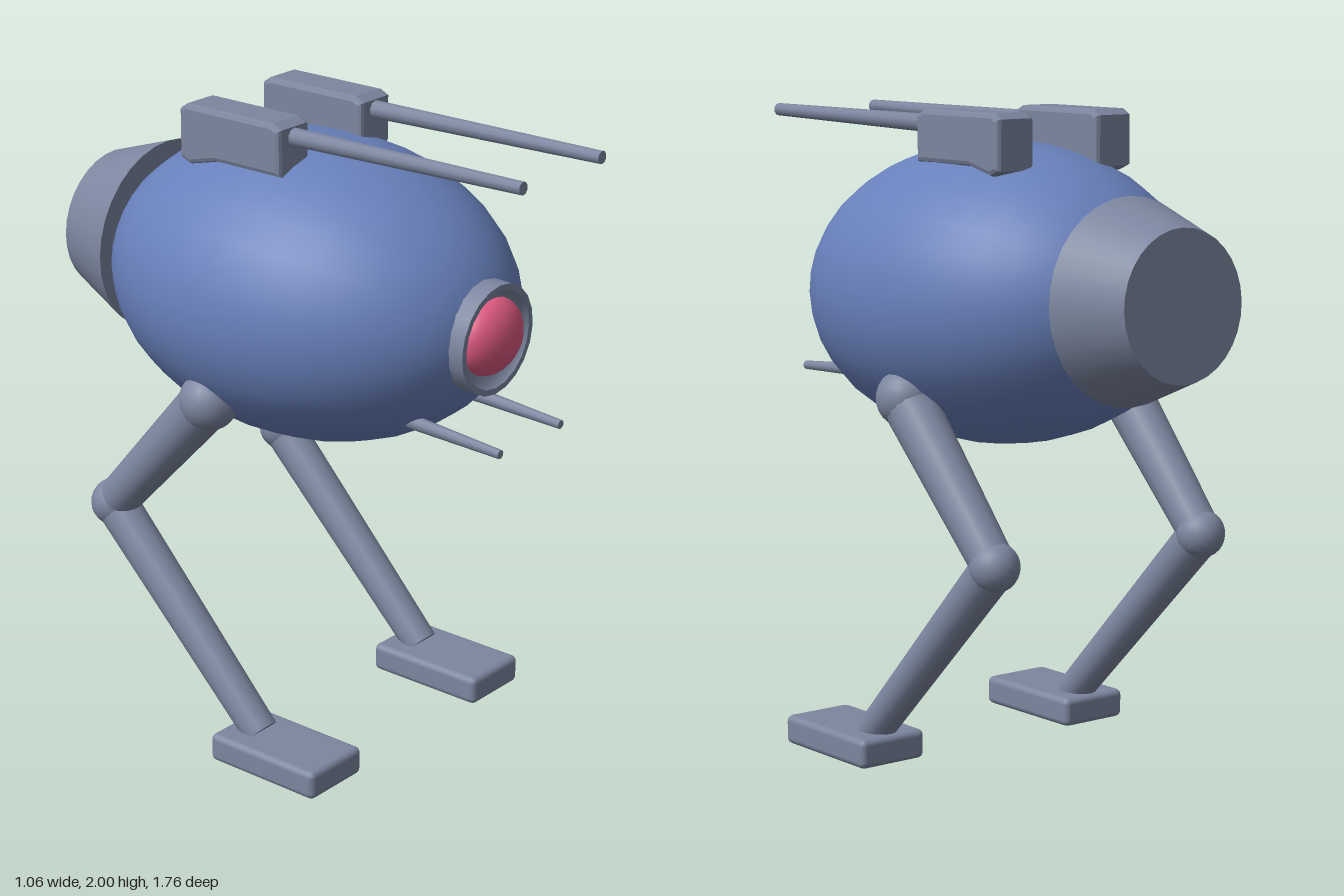
import * as THREE from 'three';
import { RoundedBoxGeometry } from 'three/addons/geometries/RoundedBoxGeometry.js';

const material = (name, color) => Object.assign(new THREE.MeshStandardMaterial({ color }), { name });

export function createModel() {
  const model = new THREE.Group();
  model.name = 'walker';
  const blue = material('hull blue', 0x6880bb);
  const grey = material('metal grey', 0x7c869f);
  const pink = material('eye pink', 0xdc5980);

  const add = (parent, name, geometry, mat, x = 0, y = 0, z = 0) => {
    const mesh = new THREE.Mesh(geometry, mat);
    mesh.name = name;
    mesh.position.set(x, y, z);
    parent.add(mesh);
    return mesh;
  };

  // Tapered rod between two points
  const rod = (parent, name, a, b, ra, rb, sides = 16) => {
    const from = new THREE.Vector3(...a);
    const dir = new THREE.Vector3(...b).sub(from);
    const geometry = new THREE.CylinderGeometry(rb, ra, dir.length(), sides);
    const mesh = add(parent, name, geometry, grey);
    mesh.position.copy(from).addScaledVector(dir, 0.5);
    mesh.quaternion.setFromUnitVectors(new THREE.Vector3(0, 1, 0), dir.normalize());
  };

  // Egg-shaped hull, tipped slightly nose down
  const hull = new THREE.Group();
  hull.name = 'hull';
  hull.position.set(0, 1.435, -0.03);
  hull.rotation.x = 0.036;
  model.add(hull);
  const egg = new THREE.SphereGeometry(1, 32, 20).rotateX(Math.PI / 2).scale(0.53, 0.467, 0.69);
  add(hull, 'body', egg, blue);

  // Rear exhaust cone
  const cone = new THREE.CylinderGeometry(0.31, 0.226, 0.23, 32).rotateX(Math.PI / 2);
  add(hull, 'exhaust', cone, grey, 0, 0, -0.724);

  // Eye and its socket; repeated points keep the rim edges sharp
  const rim = [
    [0.172, -0.1], [0.172, 0.03], [0.172, 0.03],
    [0.153, 0.03], [0.153, 0.03], [0.135, 0.005], [0.1, 0.005],
  ].map(([r, h]) => new THREE.Vector2(r, h));
  const socket = new THREE.LatheGeometry(rim, 20).rotateX(Math.PI / 2);
  add(hull, 'eyeSocket', socket, grey, 0, 0, 0.672);
  const eye = new THREE.SphereGeometry(1, 24, 16).scale(0.132, 0.12, 0.08);
  add(hull, 'eye', eye, pink, 0, 0.005, 0.67);

  // Side profile of the gun housing, as (z, y)
  const profile = new THREE.Shape([
    [0.04, 1.855], [0.04, 1.975], [0.02, 1.985], [-0.31, 1.985],
    [-0.325, 1.975], [-0.325, 1.84], [-0.3, 1.83], [-0.2, 1.855],
  ].map(([z, y]) => new THREE.Vector2(z, y)));

  for (const side of [1, -1]) {
    const label = side > 0 ? 'left' : 'right';

    // Roof gun
    const gun = new THREE.Group();
    gun.name = label + 'RoofGun';
    model.add(gun);
    const housing = new THREE.ExtrudeGeometry(profile, {
      depth: 0.11, bevelThickness: 0.015, bevelSize: 0.015, bevelSegments: 2,
    }).translate(0, 0, -0.055).rotateY(-Math.PI / 2);
    // Turned so the profile's first axis runs along z
    add(gun, 'gunHousing', housing, grey, side * 0.19);
    rod(gun, 'gunBarrel', [side * 0.19, 1.952, 0], [side * 0.19, 1.963, 0.885], 0.029, 0.02, 10);

    // Chin gun
    rod(model, label + 'ChinGun', [side * 0.15, 1.152, 0.4], [side * 0.15, 1.13, 0.8], 0.024, 0.014, 10);

    // Backward-bent leg
    const leg = new THREE.Group();
    leg.name = label + 'Leg';
    model.add(leg);
    const hip = [side * 0.413, 1.15, -0.097];
    const knee = [side * 0.405, 0.7, -0.51];
    const ankle = [side * 0.403, 0.085, 0.09];
    add(leg, 'hip', new THREE.SphereGeometry(0.092, 20, 14), grey, ...hip);
    rod(leg, 'thigh', hip, knee, 0.083, 0.066);
    add(leg, 'knee', new THREE.SphereGeometry(0.076, 20, 14), grey, ...knee);
    rod(leg, 'shin', knee, ankle, 0.068, 0.056);
    add(leg, 'foot', new RoundedBoxGeometry(0.24, 0.092, 0.415, 2, 0.02), grey, side * 0.405, 0.046, 0.193);
  }
  return model;
}
